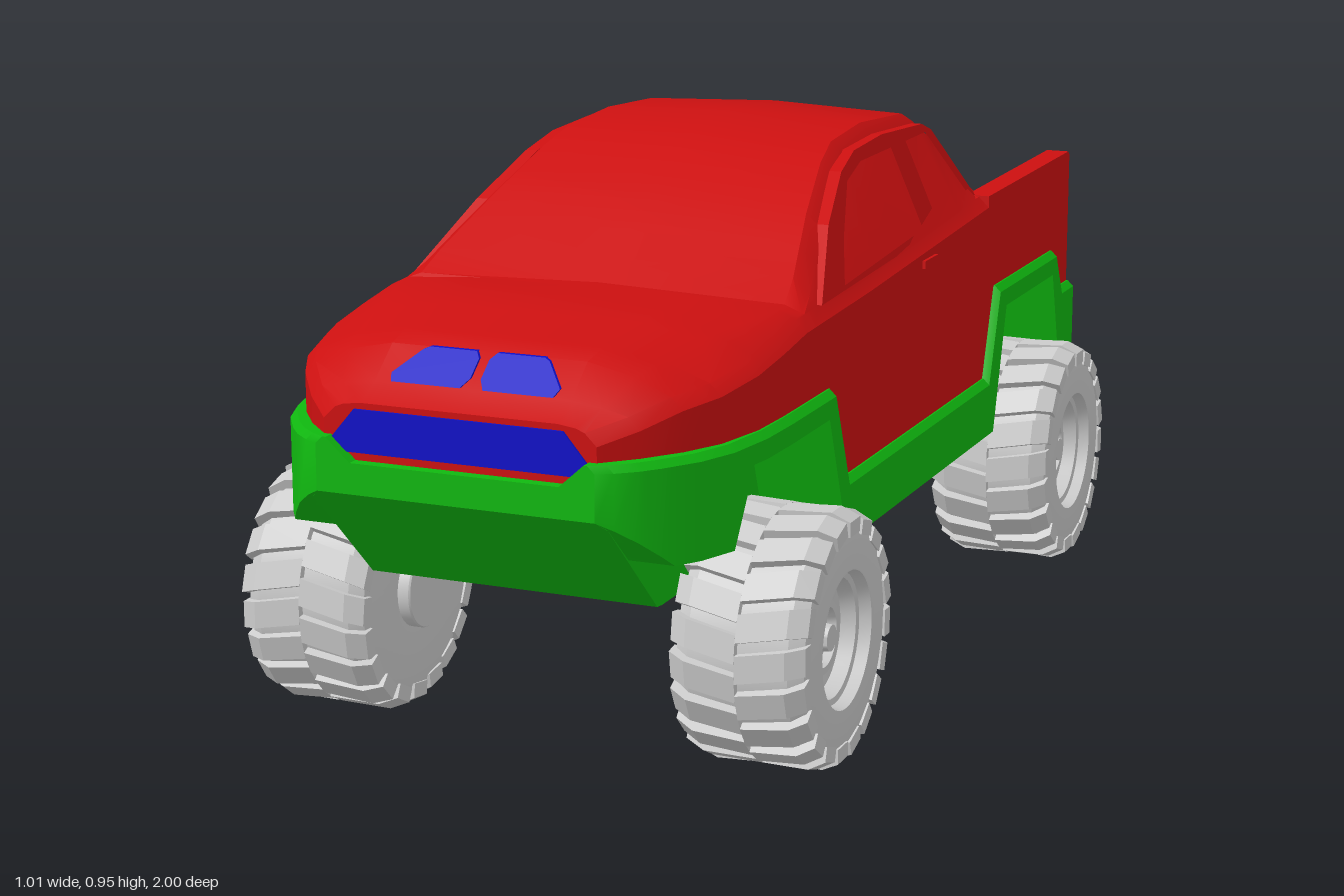
import * as THREE from 'three';
import { mergeGeometries, toCreasedNormals } from 'three/addons/utils/BufferGeometryUtils.js';

const mat = (color) => new THREE.MeshStandardMaterial({ color });
const red = mat(0xcc1010), green = mat(0x10b810), blue = mat(0x1010c8), grey = mat(0xcccccc);

function add(parent, name, geometry, material) {
  const mesh = new THREE.Mesh(geometry, material);
  mesh.name = name;
  parent.add(mesh);
  return mesh;
}

// Linear lookup in a list of [z, value], z running from front to back
function at(keys, z) {
  if (z >= keys[0][0]) return keys[0][1];
  for (let i = 1; i < keys.length; i++) {
    const [z0, a] = keys[i - 1], [z1, b] = keys[i];
    if (z >= z1) return a + ((b - a) * (z0 - z)) / (z0 - z1);
  }
  return keys[keys.length - 1][1];
}

const stations = (...lists) => [...new Set(lists.flat().map((k) => k[0]))].sort((a, b) => b - a);

// Skin over mirrored half sections (top centre, down the +x side, bottom centre)
function loft(zs, half, crease) {
  const rings = zs.map((z) => {
    const h = half(z);
    const mirrored = h.slice(1, -1).reverse().map(([x, y]) => [-x, y]);
    return [...h, ...mirrored].map(([x, y]) => new THREE.Vector3(x, y, z));
  });
  const pos = [];
  const tri = (...v) => v.forEach((p) => pos.push(p.x, p.y, p.z));
  const n = rings[0].length;
  for (let i = 0; i < rings.length - 1; i++) {
    for (let j = 0; j < n; j++) {
      const k = (j + 1) % n;
      const a = rings[i][j], b = rings[i][k], c = rings[i + 1][k], d = rings[i + 1][j];
      tri(a, b, d);
      tri(b, c, d);
    }
  }
  [rings[0], rings[rings.length - 1]].forEach((ring, end) => {
    const r = [...ring].reverse();
    const faces = THREE.ShapeUtils.triangulateShape(r.map((p) => new THREE.Vector2(p.x, p.y)), []);
    for (const [a, b, c] of faces) end ? tri(r[a], r[c], r[b]) : tri(r[a], r[b], r[c]);
  });
  const g = new THREE.BufferGeometry();
  g.setAttribute('position', new THREE.Float32BufferAttribute(pos, 3));
  return toCreasedNormals(g, crease);
}

const shapeOf = (pts) => new THREE.Shape(pts.map(([x, y]) => new THREE.Vector2(x, y)));
const extrude = (shape, depth) => new THREE.ExtrudeGeometry(shape, { depth, bevelEnabled: false });

function moveVertices(g, rule) {
  const p = g.attributes.position, v = new THREE.Vector3();
  for (let i = 0; i < p.count; i++) {
    rule(v.fromBufferAttribute(p, i));
    p.setXYZ(i, v.x, v.y, v.z);
  }
  g.computeVertexNormals();
  return g;
}

// Chassis outlines
const chassisTop = [[1, 0.575], [0.4, 0.575], [0.33, 0.405], [-0.44, 0.405], [-0.5, 0.575],
  [-0.875, 0.575], [-0.92, 0.49], [-1, 0.49]];
const chassisWidth = [[1, 0.24], [0.985, 0.265], [0.96, 0.295], [0.93, 0.32], [0.87, 0.36], [0.8, 0.387],
  [0.7, 0.402], [0.6, 0.405]];
const archLine = [[1, 0.486], [0.91, 0.405], [0.8, 0.405], [0.74, 0.53], [0.43, 0.53], [0.34, 0.295],
  [-0.47, 0.295], [-0.54, 0.53], [-0.85, 0.53], [-0.905, 0.342], [-1, 0.36]];
const bellyLine = [[1, 0.486], [0.8, 0.297], [0.78, 0.295], [-0.66, 0.295], [-0.87, 0.335], [-1, 0.36]];
const noseNotch = [[1, 0.038], [0.96, 0.038], [0.95, 0]];

function chassisGeometry() {
  const zs = stations(chassisTop, chassisWidth, archLine, bellyLine, noseNotch);
  return loft(zs, (z) => {
    const t = at(chassisTop, z), w = at(chassisWidth, z), belly = at(bellyLine, z);
    const arch = Math.max(at(archLine, z), belly), inner = Math.min(w, 0.255), dip = t - at(noseNotch, z);
    return [[0, dip], [0.18, dip], [0.222, t], [w - 0.012, t], [w, t - 0.012],
      [w, arch], [inner, arch], [inner, belly], [0, belly]];
  }, 0.5);
}

// Body outlines
const bodyTop = [[0.98, 0.63], [0.93, 0.655], [0.87, 0.703], [0.82, 0.715], [0.67, 0.735], [0.5, 0.735],
  [0.46, 0.735], [0.25, 0.847], [0.11, 0.91], [0.03, 0.935], [-0.13, 0.945], [-0.34, 0.932],
  [-0.38, 0.912], [-0.5, 0.762]];
const bodyWidth = [[0.98, 0.235], [0.93, 0.285], [0.87, 0.33], [0.8, 0.365], [0.7, 0.386], [0.6, 0.39]];
const beltLine = [[0.98, 0.6], [0.87, 0.64], [0.5, 0.69], [0.2, 0.7], [-0.5, 0.735]];
const hoodEdge = [[0.98, 0.2], [0.87, 0.25], [0.5, 0.34]];
const domeEdge = [[0.98, 0.17], [0.87, 0.17], [0.5, 0.2]];
const cabSide = (y) => 0.365 - (y - 0.74) * 0.44;

function bodyGeometry() {
  const zs = stations(bodyTop, bodyWidth, beltLine, chassisTop.filter(([z]) => Math.abs(z) < 0.5));
  return loft(zs, (z) => {
    const top = at(bodyTop, z), w = at(bodyWidth, z), belt = at(beltLine, z), y2 = belt + 0.02;
    const bottom = at(chassisTop, z) - 0.04;
    let x3, y3, x4, y4;
    if (z > 0.47) {
      x3 = at(hoodEdge, z);
      y3 = y2 + (top - y2) * 0.6;
      x4 = at(domeEdge, z);
      y4 = top;
    } else {
      y3 = Math.max(top - 0.035, y2 + 0.002);
      x3 = cabSide(y3) - 0.012;
      y4 = Math.max(top - 0.01, y3);
      x4 = x3 - 0.03;
    }
    return [[0, top], [x4, y4], [x3, y3], [w - 0.02, y2], [w, belt], [w, bottom], [0, bottom]];
  }, 0.45);
}

// Pillars and window surround of one side, leaning with the cab; outline in [z, y]
function windowFrameGeometry() {
  const flip = (pts) => pts.map(([z, y]) => [-z, y]);
  const shape = shapeOf(flip([[0.4, 0.715], [0.25, 0.82], [0.11, 0.887], [0.02, 0.91], [-0.13, 0.916],
    [-0.34, 0.905], [-0.375, 0.89], [-0.465, 0.755], [-0.3, 0.735]]));
  const front = [[0.28, 0.725], [0.21, 0.79], [0.1, 0.87], [0.01, 0.89], [-0.15, 0.89], [-0.15, 0.745]];
  const rear = [[-0.23, 0.75], [-0.23, 0.89], [-0.34, 0.89], [-0.43, 0.765]];
  for (const hole of [front, rear]) shape.holes.push(shapeOf(flip(hole)));
  return moveVertices(extrude(shape, 0.022), (v) => v.set(cabSide(v.y) + v.z - 0.02, v.y, -v.x));
}

// Wheel around the y axis, outer face towards +y
function wheelGeometries() {
  const profile = [[0, -0.133], [0.07, -0.133], [0.072, -0.13], [0.072, -0.11], [0.17, -0.112], [0.186, -0.108],
    [0.2, -0.085], [0.2, 0.085], [0.186, 0.108], [0.17, 0.112], [0.115, 0.112], [0.11, 0.092], [0.1, 0.09],
    [0.094, 0.065], [0.066, 0.06], [0.062, 0.075], [0.05, 0.075], [0.046, 0.06], [0.024, 0.06],
    [0.022, 0.085], [0, 0.085]].map(([r, y]) => new THREE.Vector2(r, y));
  const tyre = toCreasedNormals(new THREE.LatheGeometry(profile, 40), 0.5);
  const lugs = [], count = 20;
  const section = shapeOf([[0.19, 0], [0.2125, 0], [0.2125, 0.085], [0.197, 0.115], [0.172, 0.115]]);
  for (let i = 0; i < count * 2; i++) {
    const lug = extrude(section, 0.046).translate(0, 0, -0.023);
    if (i % 2) lug.rotateX(Math.PI);
    moveVertices(lug, (v) => { v.z += Math.abs(v.y) * 0.2; });
    lugs.push(lug.rotateY((i * Math.PI) / count));
  }
  return [tyre, mergeGeometries(lugs)];
}

export function createModel() {
  const truck = new THREE.Group();
  truck.name = 'pickupTruck';
  add(truck, 'chassis', chassisGeometry(), green);
  add(truck, 'body', bodyGeometry(), red);

  // Bed walls, window frames and door handles
  const wall = extrude(shapeOf([[0.46, 0.45], [0.46, 0.755], [0.99, 0.76], [0.998, 0.752], [0.998, 0.47],
    [0.9, 0.47], [0.86, 0.54], [0.52, 0.54]]), 0.045);
  wall.rotateY(Math.PI / 2).translate(0.345, 0, 0);
  const frame = windowFrameGeometry();
  const handle = new THREE.BoxGeometry(0.012, 0.014, 0.07).translate(0.39, 0.695, -0.11);
  for (const [side, s] of [['left', 1], ['right', -1]]) {
    add(truck, side + 'BedWall', wall, red).scale.x = s;
    add(truck, side + 'WindowFrame', frame, red).scale.x = s;
    add(truck, side + 'DoorHandle', handle, red).scale.x = s;
  }

  // Grille and hood vents
  const grille = shapeOf([[-0.222, 0.57], [-0.2, 0.55], [0.2, 0.55], [0.222, 0.57], [0.18, 0.62], [-0.18, 0.62]]);
  add(truck, 'grille', moveVertices(extrude(grille, 0.01), (v) => { v.z += 0.974; }), blue);
  const ventShape = shapeOf([[0.02, 0.657], [0.14, 0.657], [0.146, 0.668], [0.11, 0.7], [0.1, 0.704],
    [0.018, 0.704], [0.009, 0.695], [0.009, 0.67]]);
  const vent = moveVertices(extrude(ventShape, 0.012), (v) => { v.z += 0.924 - (v.y - 0.655) * 1.25; });
  for (const s of [1, -1]) add(truck, s > 0 ? 'leftVent' : 'rightVent', vent, blue).scale.x = s;

  // Wheels
  const [tyre, tread] = wheelGeometries();
  for (const [end, z] of [['front', 0.6], ['rear', -0.69]]) {
    for (const [side, s] of [['Left', 1], ['Right', -1]]) {
      const wheel = new THREE.Group();
      wheel.name = end + side + 'Wheel';
      add(wheel, 'tyreAndRim', tyre, grey);
      add(wheel, 'tread', tread, grey);
      wheel.rotation.z = (-s * Math.PI) / 2;
      wheel.position.set(s * 0.39, 0.2125, z);
      truck.add(wheel);
    }
  }
  return truck;
}
